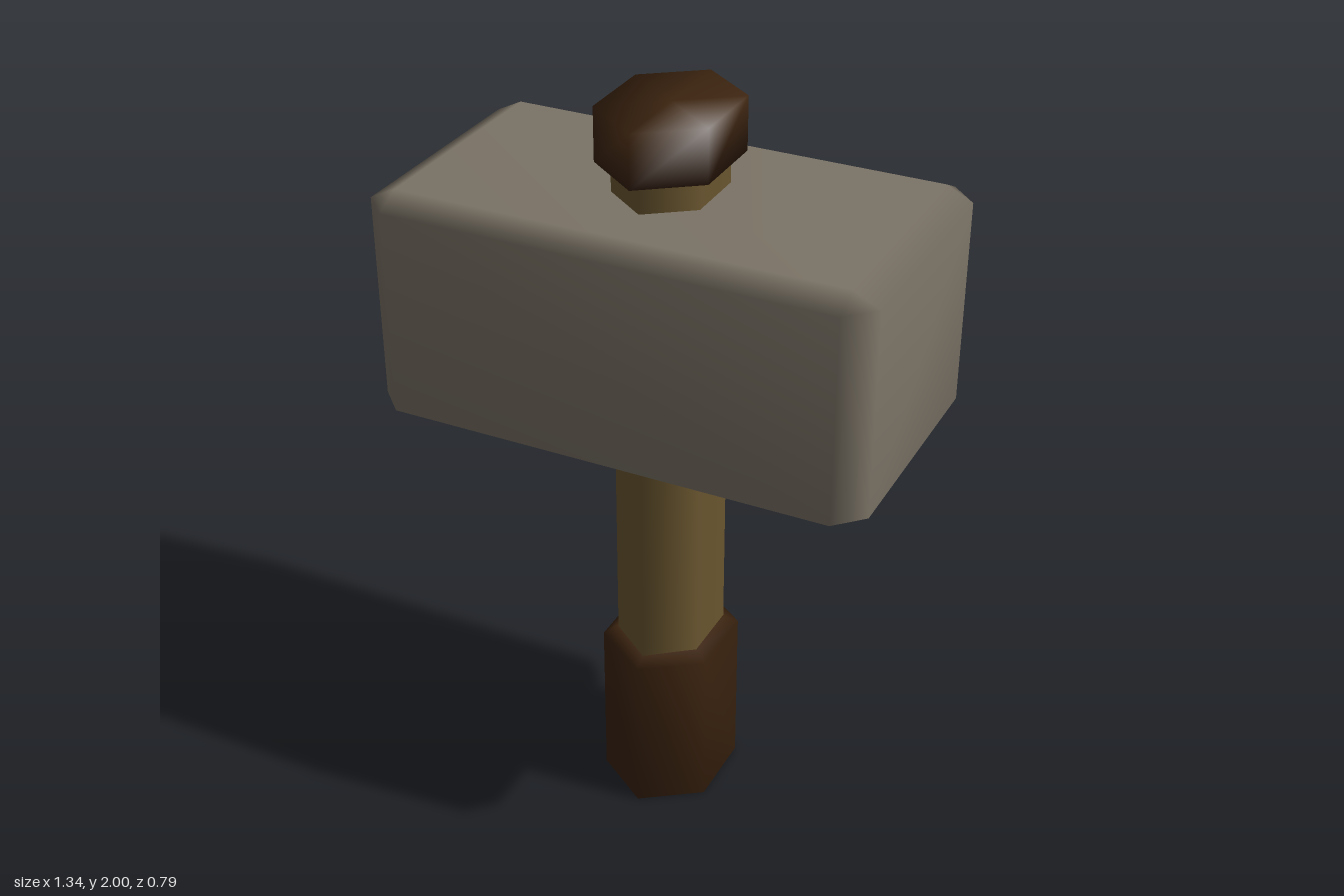
import * as THREE from 'three';
import { mergeVertices } from 'three/addons/utils/BufferGeometryUtils.js';
import { ConvexGeometry } from 'three/addons/geometries/ConvexGeometry.js';

const material = (name, color) => {
  const m = new THREE.MeshStandardMaterial({ color });
  m.name = name;
  return m;
};

// Weld shared corners so shading flows softly across every edge
function smooth(geometry) {
  geometry.deleteAttribute('normal');
  geometry.deleteAttribute('uv');
  const welded = mergeVertices(geometry, 1e-4);
  welded.computeVertexNormals();
  return welded;
}

// Chamfered block: each corner is cut by three points
function chamferedBox(hx, hy, hz, cut, cutY) {
  const points = [];
  for (const sx of [-1, 1]) for (const sy of [-1, 1]) for (const sz of [-1, 1]) {
    points.push(
      new THREE.Vector3(sx * hx, sy * (hy - cutY), sz * (hz - cut)),
      new THREE.Vector3(sx * (hx - cut), sy * hy, sz * (hz - cut)),
      new THREE.Vector3(sx * (hx - cut), sy * (hy - cutY), sz * hz));
  }
  return smooth(new ConvexGeometry(points));
}

// Six-sided prism with half width hx and half depth hz, corners on the z axis
function hexPrism(hx, hz, y0, y1, topScale = 1, open = false) {
  const g = new THREE.CylinderGeometry(topScale, 1, y1 - y0, 6, 1, open);
  g.scale(hx / Math.cos(Math.PI / 6), 1, hz);
  g.translate(0, (y0 + y1) / 2, 0);
  return g;
}

export function createModel() {
  const group = new THREE.Group();
  const stone = material('stone', 0x7b7366);
  const wood = material('wood', 0x6b5730);
  const leather = material('leather', 0x3b230f);

  const add = (name, geometry, mat) => {
    const mesh = new THREE.Mesh(geometry, mat);
    mesh.name = name;
    group.add(mesh);
    return mesh;
  };

  // Hammer head
  add('head', chamferedBox(0.66, 0.3075, 0.375, 0.07, 0.035), stone).position.y = 1.4725;

  // Shaft through the head
  add('shaft', hexPrism(0.118, 0.173, 0.4, 1.9, 1, true), wood);

  // Grip with a bevelled shoulder meeting the shaft
  const grip = new THREE.LatheGeometry([
    new THREE.Vector2(0, 0), new THREE.Vector2(1, 0),
    new THREE.Vector2(1, 0.458), new THREE.Vector2(0.8, 0.48),
    new THREE.Vector2(0, 0.48),
  ], 6);
  grip.scale(0.154 / Math.cos(Math.PI / 6), 1, 0.211);
  add('grip', smooth(grip), leather);

  // End cap
  add('endCap', smooth(hexPrism(0.15, 0.22, 1.86, 2)), leather);

  // The whole tool is turned very slightly
  group.rotation.y = -0.033;
  return group;
}
